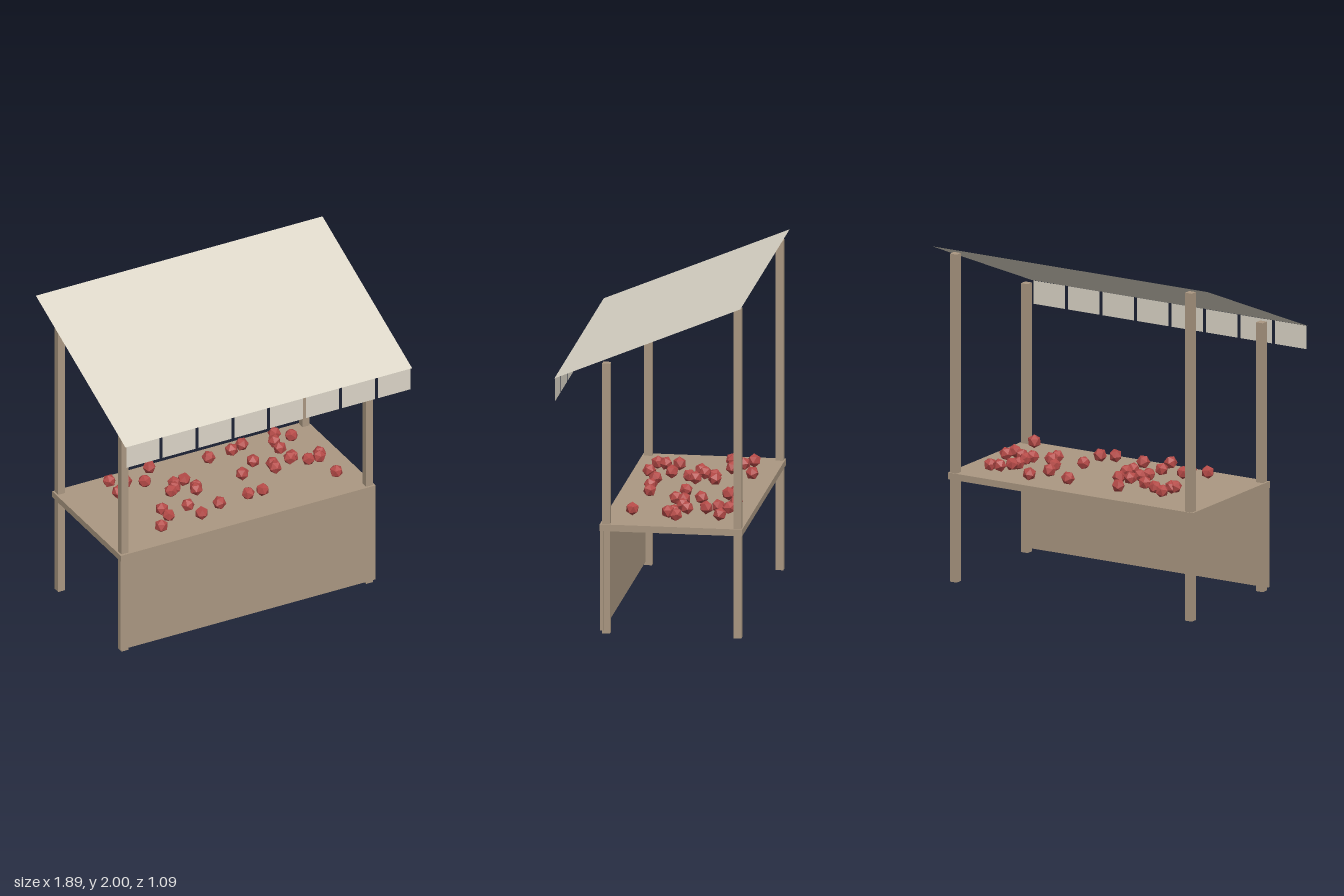
import * as THREE from 'three';

export function createModel() {
  const model = new THREE.Group();
  const material = (name, color, extra = {}) => {
    const m = new THREE.MeshStandardMaterial({ color, ...extra });
    m.name = name;
    return m;
  };
  const wood = material('wood', 0xab9882);
  const cloth = material('cloth', 0xdcd6c8, { side: THREE.DoubleSide });
  const red = material('fruit red', 0xb44a47, { flatShading: true });

  const add = (name, geometry, mat, x, y, z, parent = model) => {
    const mesh = new THREE.Mesh(geometry, mat);
    mesh.name = name;
    mesh.position.set(x, y, z);
    parent.add(mesh);
    return mesh;
  };

  // Four posts, the back pair taller
  for (const [name, z, height] of [['frontPost', 0.26, 1.615], ['backPost', -0.51, 1.97]]) {
    for (const side of [-1, 1]) {
      add(name, new THREE.BoxGeometry(0.046, height, 0.046), wood, side * 0.806, height / 2, z);
    }
  }

  // Counter board and front panel
  add('counter', new THREE.BoxGeometry(1.68, 0.04, 0.835), wood, 0, 0.635, -0.122);
  add('frontPanel', new THREE.BoxGeometry(1.68, 0.597, 0.018), wood, 0, 0.3185, 0.284);

  // Sloped cloth canopy: a single sheet falling towards the front
  const backY = 2, frontY = 1.545, reach = 0.545;
  const slope = Math.atan2(backY - frontY, reach * 2);
  const sheet = new THREE.PlaneGeometry(1.89, Math.hypot(backY - frontY, reach * 2));
  sheet.rotateX(slope - Math.PI / 2);
  add('canopy', sheet, cloth, 0, (backY + frontY) / 2, 0);

  // Hanging flaps along the front edge
  const flap = new THREE.PlaneGeometry(0.217, 0.14);
  for (let i = 0; i < 8; i++) {
    add('canopyFlap', flap, cloth, (i - 3.5) * 0.2365, 1.475, 0.543);
  }

  // Fruit scattered in loose clusters: x, z
  const spots = [
    [-0.50, 0.16], [-0.42, 0.10], [-0.42, 0.02], [-0.55, -0.27], [-0.53, -0.28], [-0.54, -0.40],
    [-0.46, -0.35], [-0.36, -0.30], [-0.26, -0.43], [-0.26, 0.04], [-0.24, 0.17], [-0.09, 0.11],
    [-0.28, -0.13], [-0.24, -0.16], [-0.21, -0.22], [-0.14, -0.23], [-0.14, -0.08], [-0.12, -0.12],
    [0.10, 0.11], [0.20, 0.10], [0.18, -0.11], [0.11, -0.39], [0.25, -0.37], [0.31, -0.22],
    [0.38, -0.08], [0.39, -0.13], [0.35, -0.43], [0.52, -0.35], [0.56, -0.42], [0.65, -0.38],
    [0.51, -0.14], [0.54, -0.17], [0.52, -0.28], [0.61, -0.10], [0.67, -0.08], [0.70, -0.13],
    [0.67, 0.13],
  ];
  let seed = 7;
  const random = () => (seed = (seed * 16807) % 2147483647) / 2147483647;
  const fruitGeometry = new THREE.IcosahedronGeometry(0.041, 0);
  const fruits = new THREE.Group();
  fruits.name = 'fruits';
  model.add(fruits);
  for (const [x, z] of spots) {
    const fruit = add('fruit', fruitGeometry, red, x, 0.692 + random() * 0.024, z, fruits);
    fruit.rotation.set(random() * 6, random() * 6, random() * 6);
  }

  return model;
}
